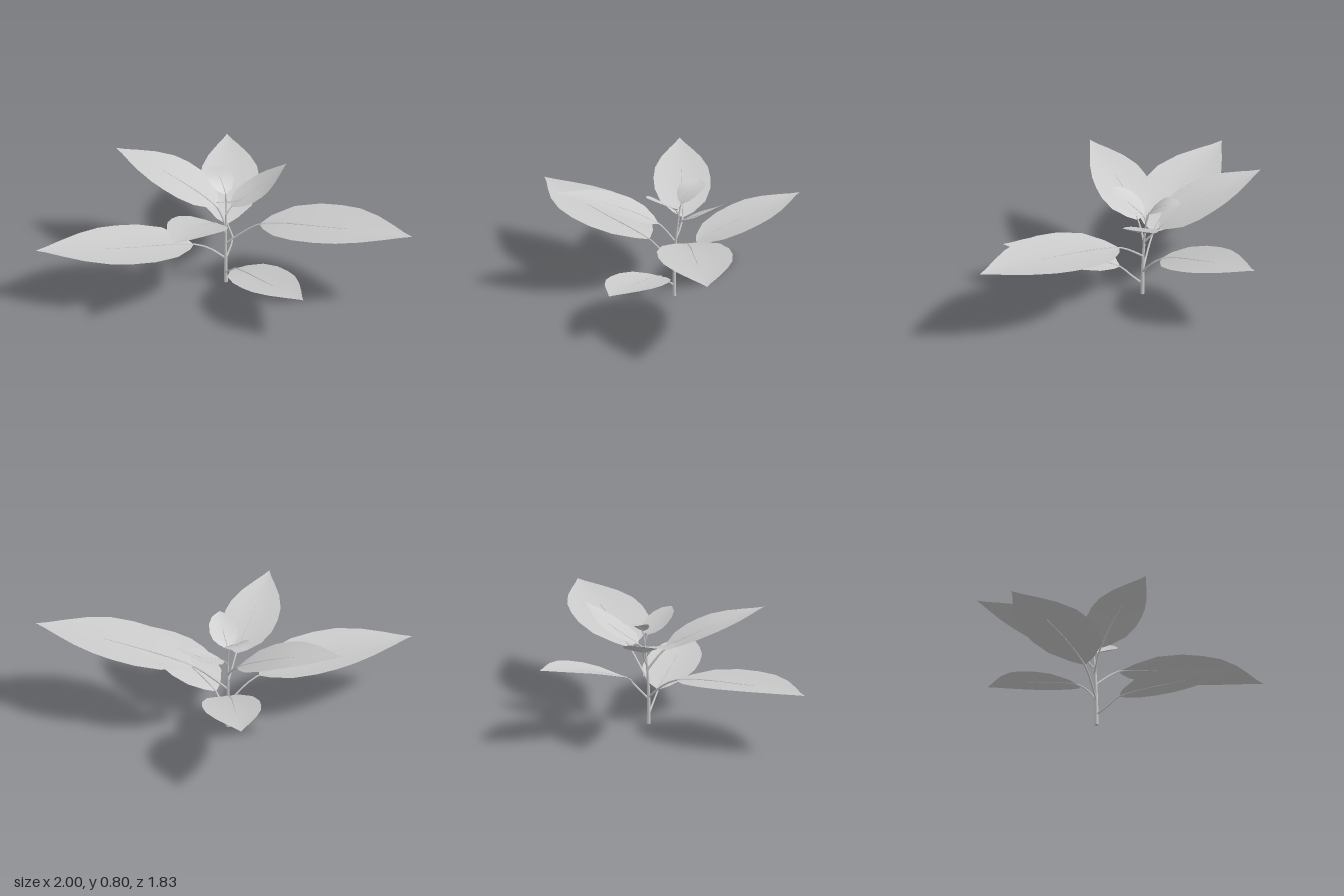
import * as THREE from 'three';

const material = new THREE.MeshStandardMaterial({ color: 0xcccccc, side: THREE.DoubleSide });
const vec = (p) => new THREE.Vector3(...p);

// Half-width of a blade along its length, as [position, fraction of the widest]
const bladeProfile = [
  [0, 0.06], [0.06, 0.36], [0.18, 0.78], [0.32, 0.98], [0.45, 1],
  [0.58, 0.93], [0.72, 0.7], [0.85, 0.38], [0.93, 0.16], [1, 0],
];
const roundProfile = [
  [0, 0.1], [0.12, 0.55], [0.3, 0.9], [0.5, 1], [0.7, 0.92], [0.87, 0.62], [0.95, 0.25], [1, 0],
];

// Each spine: stem joint, petiole bend, blade base, blade middle, tip
const leaves = [
  { name: 'lowFrontLeaf', width: 0.185,
    spine: [[0.21, 0.08, -0.14], [0.2, 0.14, -0.06], [0.19, 0.195, 0.01], [0.185, 0.285, 0.4], [0.2, 0.355, 0.79]] },
  { name: 'lowLeftBackLeaf', width: 0.215, 
    spine: [[0.22, 0.18, -0.15], [0.31, 0.29, -0.2], [0.32, 0.35, -0.28], [0.54, 0.48, -0.6], [0.76, 0.56, -0.92]],
    width2: 0.18 },
  { name: 'lowRightLeaf', width: 0.245,
    spine: [[0.21, 0.19, -0.15], [0.1, 0.29, -0.18], [-0.01, 0.345, -0.21], [-0.51, 0.405, -0.38], [-1, 0.44, -0.62]] },
  { name: 'leftFrontLeaf', width: 0.25,
    spine: [[0.22, 0.3, -0.15], [0.3, 0.39, -0.08], [0.39, 0.475, 0.01], [0.69, 0.575, 0.46], [1, 0.63, 0.91]] },
  { name: 'rightFrontLeaf', width: 0.185,
    spine: [[0.22, 0.38, -0.16], [0.17, 0.45, -0.14], [0.11, 0.52, -0.11], [-0.16, 0.655, 0.03], [-0.48, 0.76, 0.24]] },
  { name: 'rightBackLeaf', width: 0.19,
    spine: [[0.225, 0.42, -0.16], [0.23, 0.47, -0.2], [0.22, 0.53, -0.26], [0.06, 0.68, -0.56], [-0.14, 0.78, -0.92]] },
  { name: 'upperLeftLeaf', width: 0.115,
    spine: [[0.23, 0.5, -0.165], [0.25, 0.53, -0.168], [0.28, 0.56, -0.17], [0.47, 0.655, -0.135], [0.67, 0.8, -0.09]] },
  { name: 'topFrontLeaf', width: 0.095, profile: roundProfile,
    spine: [[0.235, 0.56, -0.17], [0.23, 0.595, -0.165], [0.22, 0.625, -0.15], [0.18, 0.69, -0.06], [0.11, 0.77, 0.06]] },
  { name: 'topBackLeaf', width: 0.09, profile: roundProfile,
    spine: [[0.24, 0.6, -0.18], [0.24, 0.63, -0.185], [0.245, 0.66, -0.19], [0.265, 0.735, -0.29], [0.265, 0.755, -0.41]] },
];

// Tube along a curve, its radius shrinking from r0 to r1
function taperedTube(curve, segments, sides, r0, r1) {
  const geometry = new THREE.TubeGeometry(curve, segments, 1, sides, false);
  const pos = geometry.attributes.position;
  const p = new THREE.Vector3();
  for (let i = 0; i <= segments; i++) {
    const centre = curve.getPointAt(i / segments);
    const radius = THREE.MathUtils.lerp(r0, r1, i / segments);
    for (let j = 0; j <= sides; j++) {
      const k = i * (sides + 1) + j;
      p.fromBufferAttribute(pos, k).sub(centre).multiplyScalar(radius).add(centre);
      pos.setXYZ(k, p.x, p.y, p.z);
    }
  }
  return geometry;
}

// Shallow cupped blade swept along the outer half of the spine
function bladeGeometry(spine, profile, rightWidth, leftWidth) {
  const columns = [-1, -0.5, 0, 0.5, 1];
  const positions = [];
  const index = [];
  const up = new THREE.Vector3(0, 1, 0);
  profile.forEach(([t, w], row) => {
    const u = 0.5 + 0.5 * t;
    const centre = spine.getPoint(u);
    const right = spine.getTangent(u).cross(up).normalize();
    for (const s of columns) {
      const half = w * (s > 0 ? rightWidth : leftWidth);
      const p = centre.clone().addScaledVector(right, s * half);
      p.y += 0.1 * half * s * s;
      positions.push(p.x, p.y, p.z);
    }
    if (row === 0) return;
    for (let j = 0; j < columns.length - 1; j++) {
      const a = (row - 1) * columns.length + j;
      const c = a + columns.length;
      index.push(a, a + 1, c, a + 1, c + 1, c);
    }
  });
  const geometry = new THREE.BufferGeometry();
  geometry.setAttribute('position', new THREE.Float32BufferAttribute(positions, 3));
  geometry.setIndex(index);
  geometry.computeVertexNormals();
  return geometry;
}

function addMesh(parent, name, geometry) {
  const mesh = new THREE.Mesh(geometry, material);
  mesh.name = name;
  parent.add(mesh);
}

function makeLeaf({ name, width, width2 = width, profile = bladeProfile, spine }) {
  const leaf = new THREE.Group();
  leaf.name = name;
  const curve = new THREE.CatmullRomCurve3(spine.map(vec));
  addMesh(leaf, 'blade', bladeGeometry(curve, profile, width, width2));
  // Petiole runs on into the blade as its midrib
  const rib = [];
  for (let i = 0; i <= 8; i++) rib.push(curve.getPoint((i / 8) * 0.79));
  const thick = width > 0.15 ? 0.008 : 0.005;
  addMesh(leaf, 'petioleAndMidrib', taperedTube(new THREE.CatmullRomCurve3(rib), 14, 5, thick, 0.002));
  return leaf;
}

export function createModel() {
  const plant = new THREE.Group();
  plant.name = 'plant';

  // Main stem
  const stemPath = new THREE.CatmullRomCurve3([
    [0.215, 0, -0.145], [0.215, 0.2, -0.147], [0.222, 0.4, -0.155], [0.235, 0.55, -0.168], [0.24, 0.64, -0.18],
  ].map(vec));
  addMesh(plant, 'stem', taperedTube(stemPath, 12, 8, 0.014, 0.005));
  const foot = new THREE.CircleGeometry(0.014, 8).rotateX(Math.PI / 2).translate(0.215, 0, -0.145);
  addMesh(plant, 'stemFoot', foot);

  // Leaves
  for (const leaf of leaves) plant.add(makeLeaf(leaf));
  return plant;
}
